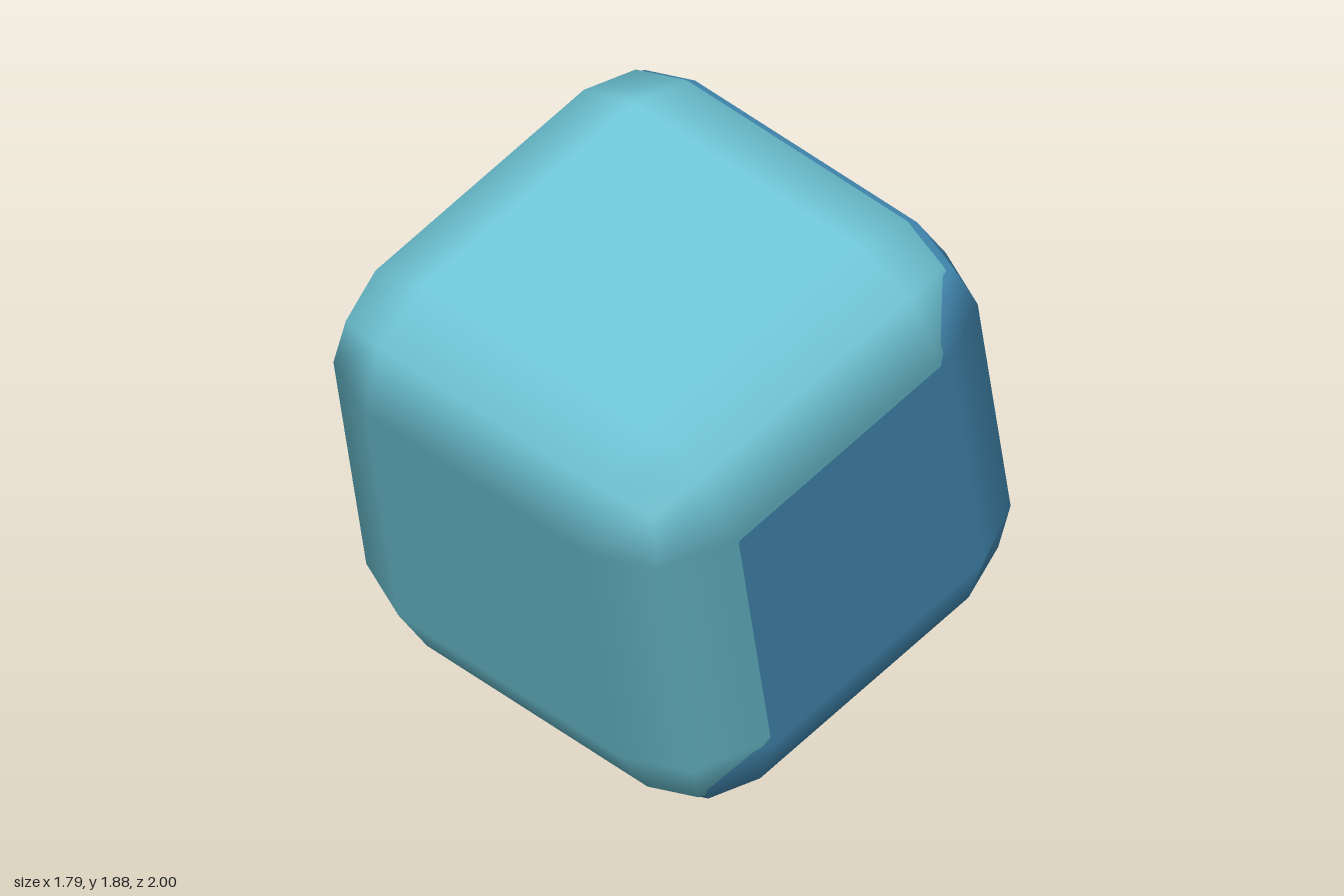
import * as THREE from 'three';
import { RoundedBoxGeometry } from 'three/addons/geometries/RoundedBoxGeometry.js';

const teal = new THREE.MeshStandardMaterial({ name: 'light teal', color: 0x6cc2d3 });
const blue = new THREE.MeshStandardMaterial({ name: 'mid blue', color: 0x4690bb });

const SIZE = 1.51;    // edge length of each block
const RADIUS = 0.305; // bevel radius
const SHIFT = 0.017;  // how far each block slides apart, up and forward

// One bevelled block, slid along its own up and front axes
function block(name, material, width, shift) {
  const mesh = new THREE.Mesh(new RoundedBoxGeometry(width, SIZE, SIZE, 1, RADIUS), material);
  mesh.name = name;
  mesh.position.set(0, shift, shift);
  return mesh;
}

export function createModel() {
  const group = new THREE.Group();
  group.name = 'tiltedCube';

  const tilted = new THREE.Group();
  tilted.name = 'cubeBody';
  // The blue block is a hair wider, so it shows on the flat side faces
  tilted.add(block('backAndBaseBlock', blue, SIZE + 0.006, -SHIFT));
  tilted.add(block('frontAndTopBlock', teal, SIZE, SHIFT));

  // Tilt from the directions of the block's side and top
  const side = new THREE.Vector3(0.93, -0.18, 0.31).normalize();
  const top = new THREE.Vector3(0.045, 0.925, 0.376);
  const front = new THREE.Vector3().crossVectors(side, top).normalize();
  top.crossVectors(front, side);
  tilted.quaternion.setFromRotationMatrix(new THREE.Matrix4().makeBasis(side, top, front));
  group.add(tilted);

  // Stand on the ground, centred
  group.updateMatrixWorld(true);
  const box = new THREE.Box3().setFromObject(group, true);
  const centre = box.getCenter(new THREE.Vector3());
  tilted.position.set(-centre.x, -box.min.y, -centre.z);
  return group;
}
